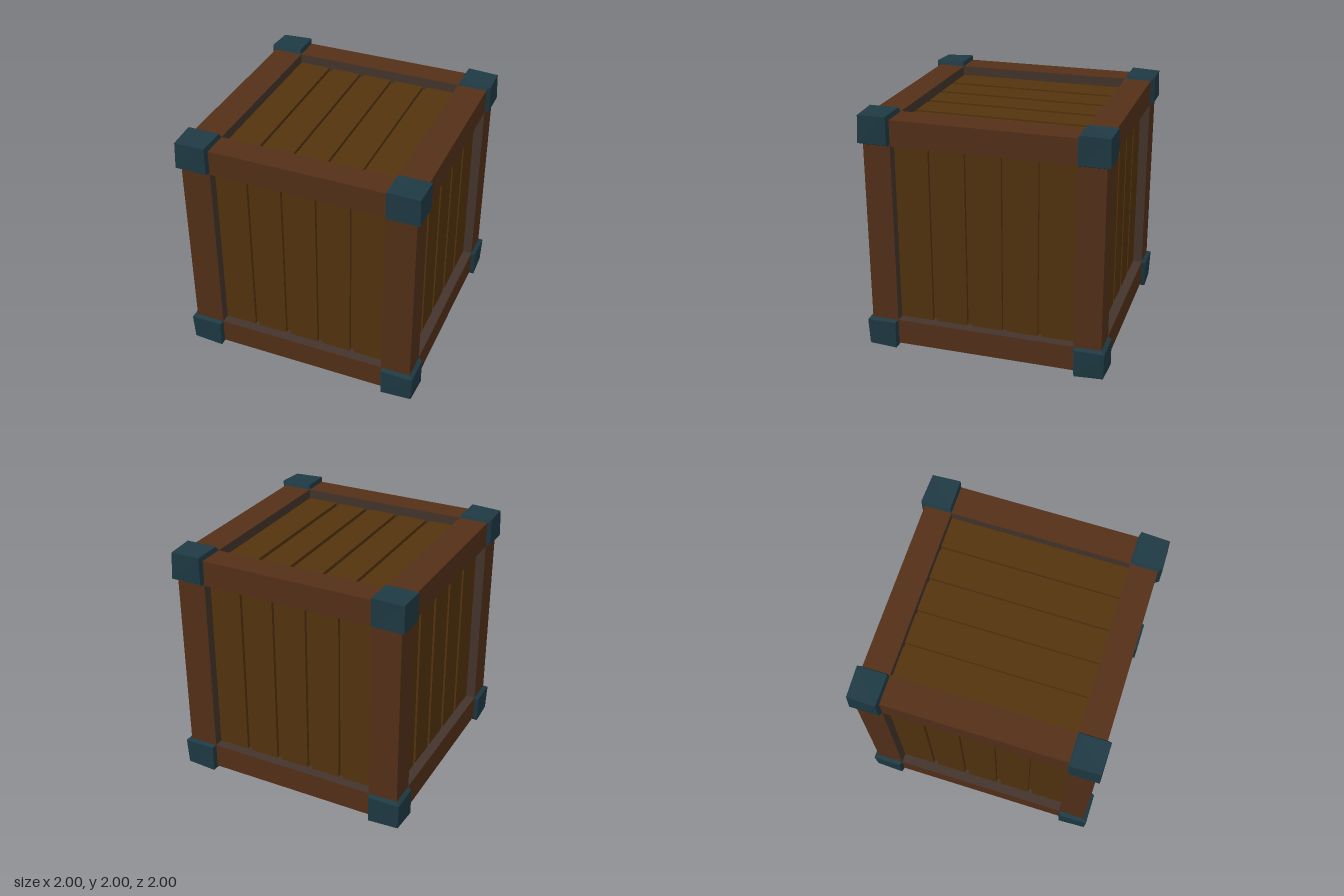
import * as THREE from 'three';

const mat = (color) => new THREE.MeshStandardMaterial({ color, flatShading: true });
const AXES = ['x', 'y', 'z'];
const INNER = [0.72, 0.755, 0.742]; // half size of the openings along x, y, z
const FRAME = 0.967;                // outer face of the beams
const PANEL = 0.887;                // outer face of the planks
const GROOVE = 0.04, DEPTH = 0.03;

export function createModel() {
  const group = new THREE.Group();
  const beamMat = mat(0x543018), liningMat = mat(0x44352c);
  const plankMat = mat(0x54340e), capMat = mat(0x1f3a44);

  // Box from [x, y, z] arrays, raised so the crate stands on y = 0
  const addBox = (name, size, pos, material) => {
    const mesh = new THREE.Mesh(new THREE.BoxGeometry(...size), material);
    mesh.position.set(pos[0], pos[1] + 1, pos[2]);
    mesh.name = name;
    group.add(mesh);
  };

  // Inner box, seen at the bottom of the grooves
  const core = 2 * (PANEL - DEPTH);
  addBox('core', [core, core, core], [0, 0, 0], plankMat);

  // Five planks on each side: n = facing axis, a = across, l = along the plank
  for (const [n, a, l] of [[2, 0, 1], [0, 2, 1], [1, 0, 2]]) {
    const pitch = (2 * INNER[a]) / 5;
    for (const s of [-1, 1]) {
      for (let i = -2; i <= 2; i++) {
        const end = Math.abs(i) === 2 ? 0.06 : 0; // outer planks run under the beams
        const size = [], pos = [0, 0, 0];
        size[n] = DEPTH + 0.02;
        size[a] = pitch - GROOVE + end;
        size[l] = 2 * INNER[l] + 0.1;
        pos[n] = s * (PANEL - size[n] / 2);
        pos[a] = i * pitch + Math.sign(i) * end / 2;
        addBox('plank', size, pos, plankMat);
      }
    }
  }

  // Twelve beams; the two faces towards the openings have a greyer lining
  for (let l = 0; l < 3; l++) {
    const b = (l + 1) % 3, c = (l + 2) % 3;
    for (const sb of [-1, 1]) for (const sc of [-1, 1]) {
      const size = [], pos = [0, 0, 0];
      const materials = Array(6).fill(beamMat);
      size[l] = 2 * INNER[l] + 0.02;
      for (const [k, s] of [[b, sb], [c, sc]]) {
        size[k] = FRAME - INNER[k];
        pos[k] = s * (FRAME + INNER[k]) / 2;
        materials[2 * k + (s > 0 ? 1 : 0)] = liningMat;
      }
      addBox(AXES[l] === 'y' ? 'cornerPost' : 'rail', size, pos, materials);
    }
  }

  // Eight metal corner caps with bevelled lips and a slightly drawn-in tip
  for (const sx of [-1, 1]) for (const sy of [-1, 1]) for (const sz of [-1, 1]) {
    const sign = [sx, sy, sz];
    const geo = new THREE.BoxGeometry(1, 1, 1, 2, 2, 2);
    const p = geo.attributes.position;
    for (let i = 0; i < p.count; i++) {
      const u = [p.getX(i), p.getY(i), p.getZ(i)].map((v, k) => v * sign[k]);
      const low = Math.min(...u);
      const outer = low < -0.25 ? FRAME : low < 0.25 ? 1 : 0.992;
      const q = u.map((v, k) => sign[k] * (v > 0.25 ? outer : INNER[k] + (v > -0.25 ? 0.015 : 0)));
      p.setXYZ(i, q[0], q[1] + 1, q[2]);
    }
    geo.computeVertexNormals();
    const cap = new THREE.Mesh(geo, capMat);
    cap.name = 'cornerCap';
    group.add(cap);
  }
  return group;
}
